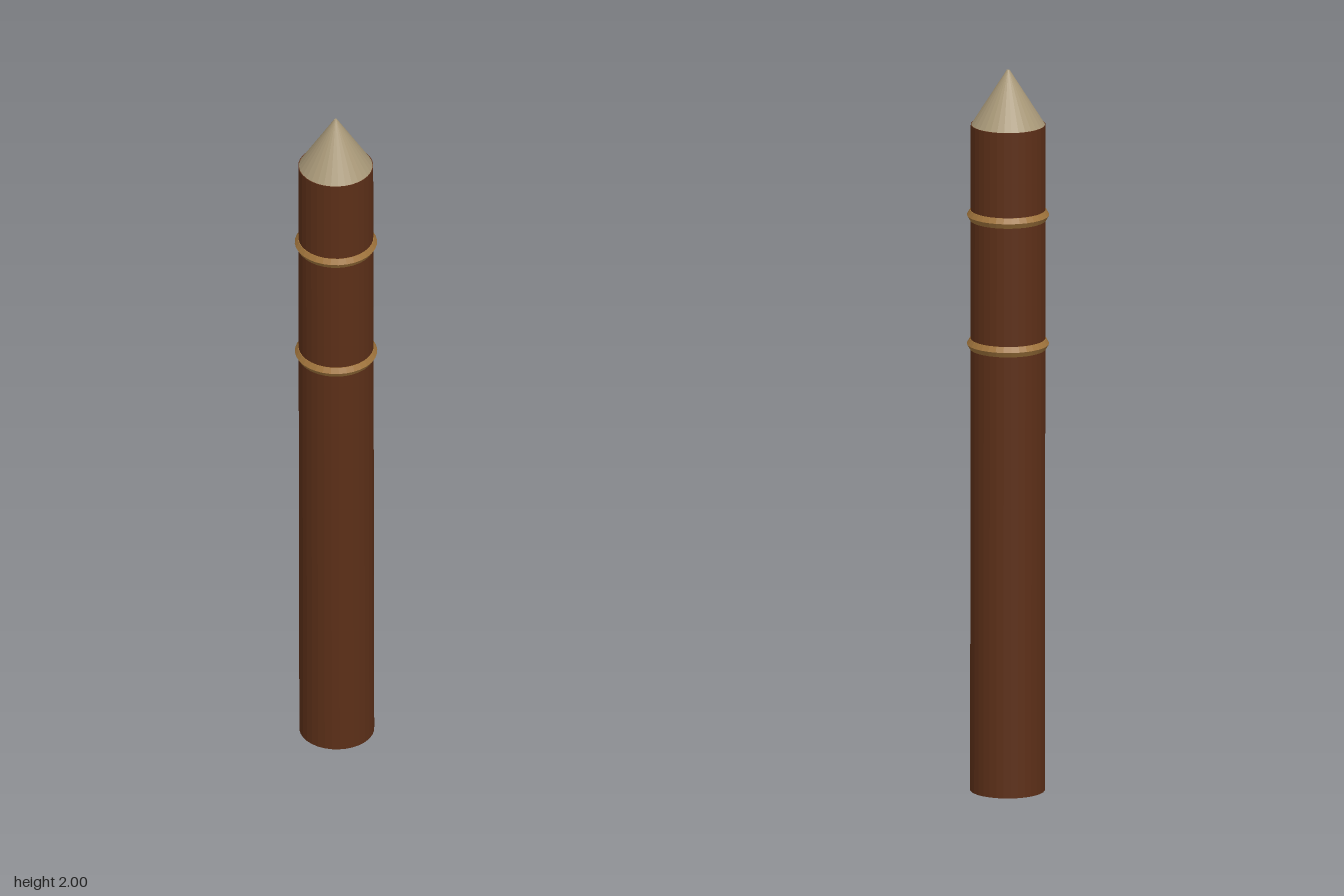
import * as THREE from 'three';

const SEGMENTS = 32;
const BODY_RADIUS = 0.101;
const BODY_LENGTH = 1.845;
const TOTAL_LENGTH = 1.996;

function part(name, geometry, color, y) {
  const material = new THREE.MeshStandardMaterial({ color, flatShading: true });
  const mesh = new THREE.Mesh(geometry, material);
  mesh.name = name;
  mesh.position.y = y;
  return mesh;
}

export function createModel() {
  const model = new THREE.Group();
  model.name = 'sharpenedStake';

  // Everything sits on one slightly leaning axis
  const stake = new THREE.Group();
  stake.name = 'leaningStake';
  const foot = new THREE.Vector3(-0.012, 0.003, -0.027);
  const apex = new THREE.Vector3(0.003, 2, 0.027);
  stake.position.copy(foot);
  stake.quaternion.setFromUnitVectors(
    new THREE.Vector3(0, 1, 0),
    apex.clone().sub(foot).normalize()
  );
  model.add(stake);

  // Round wooden shaft
  const shaft = new THREE.CylinderGeometry(BODY_RADIUS, BODY_RADIUS, BODY_LENGTH, SEGMENTS);
  stake.add(part('shaft', shaft, 0x5c2f18, BODY_LENGTH / 2));

  // Pale carved point with a tiny blunt end
  const pointLength = TOTAL_LENGTH - BODY_LENGTH;
  const point = new THREE.CylinderGeometry(0.004, 0.099, pointLength, SEGMENTS);
  stake.add(part('point', point, 0xa89878, BODY_LENGTH + pointLength / 2));

  // Faceted rope bands
  for (const [name, y] of [['lowerBand', 1.238], ['upperBand', 1.595]]) {
    const band = new THREE.TorusGeometry(0.0945, 0.0165, 6, SEGMENTS);
    band.rotateX(Math.PI / 2);
    stake.add(part(name, band, 0xa0743c, y));
  }

  return model;
}
